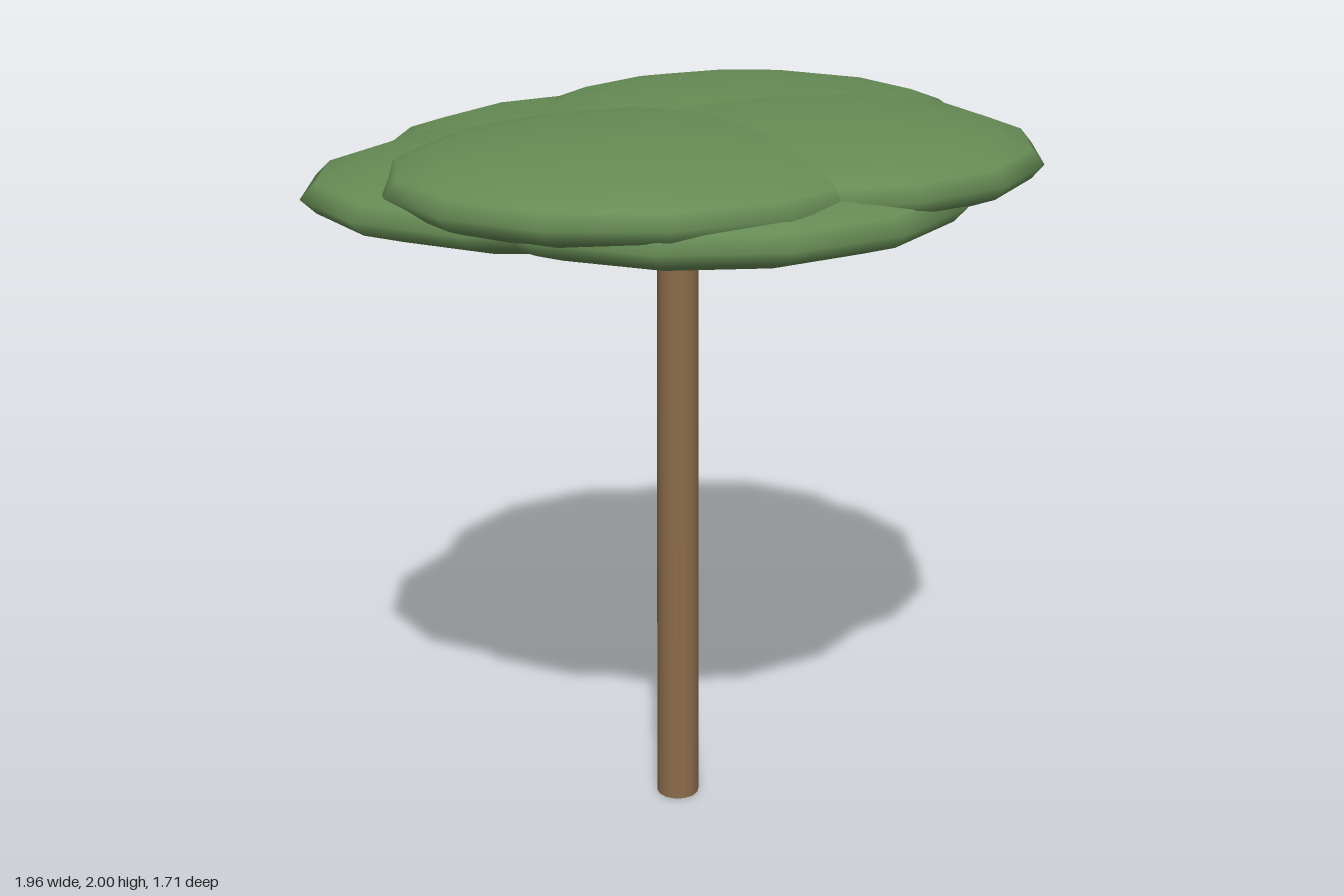
import * as THREE from 'three';

export function createModel() {
  const group = new THREE.Group();
  const bark = new THREE.MeshStandardMaterial({ color: 0x8b6b4a });
  bark.name = 'bark brown';
  const leaf = new THREE.MeshStandardMaterial({ color: 0x658a54 });
  leaf.name = 'leaf green';

  // Slim, slightly tapered trunk reaching into the canopy
  const trunkHeight = 1.82;
  const trunk = new THREE.Mesh(new THREE.CylinderGeometry(0.054, 0.06, trunkHeight, 14), bark);
  trunk.position.y = trunkHeight / 2;
  trunk.name = 'trunk';
  group.add(trunk);

  // Flattened leaf clump: centre, radii along its own axes, turn about y
  const canopy = new THREE.Group();
  canopy.name = 'canopy';
  const pad = new THREE.SphereGeometry(1, 14, 10);
  function clump(name, x, y, z, rx, rz, turn) {
    const mesh = new THREE.Mesh(pad, leaf);
    mesh.position.set(x, y, z);
    mesh.scale.set(rx, 0.12, rz);
    mesh.rotation.y = turn;
    mesh.name = name;
    canopy.add(mesh);
  }

  // Lower ring of four clumps
  const low = 1.825;
  clump('lowerRightClump', -0.18, low, 0.02, 0.8, 0.6, 0);
  clump('lowerLeftClump', 0.18, low, -0.09, 0.8, 0.61, 0);
  clump('lowerBackClump', -0.06, low, -0.16, 0.7, 0.71, Math.PI / 2);
  clump('lowerFrontClump', 0, low, 0.16, 0.69, 0.7, Math.PI / 2);

  // Upper layer of three clumps
  const high = 1.88;
  clump('upperRightClump', -0.16, high, 0.23, 0.66, 0.57, 0.07);
  clump('upperLeftClump', 0.28, high, 0.13, 0.635, 0.59, -0.1);
  clump('upperBackClump', 0.25, high, -0.19, 0.625, 0.6, 0.09);

  group.add(canopy);
  return group;
}
